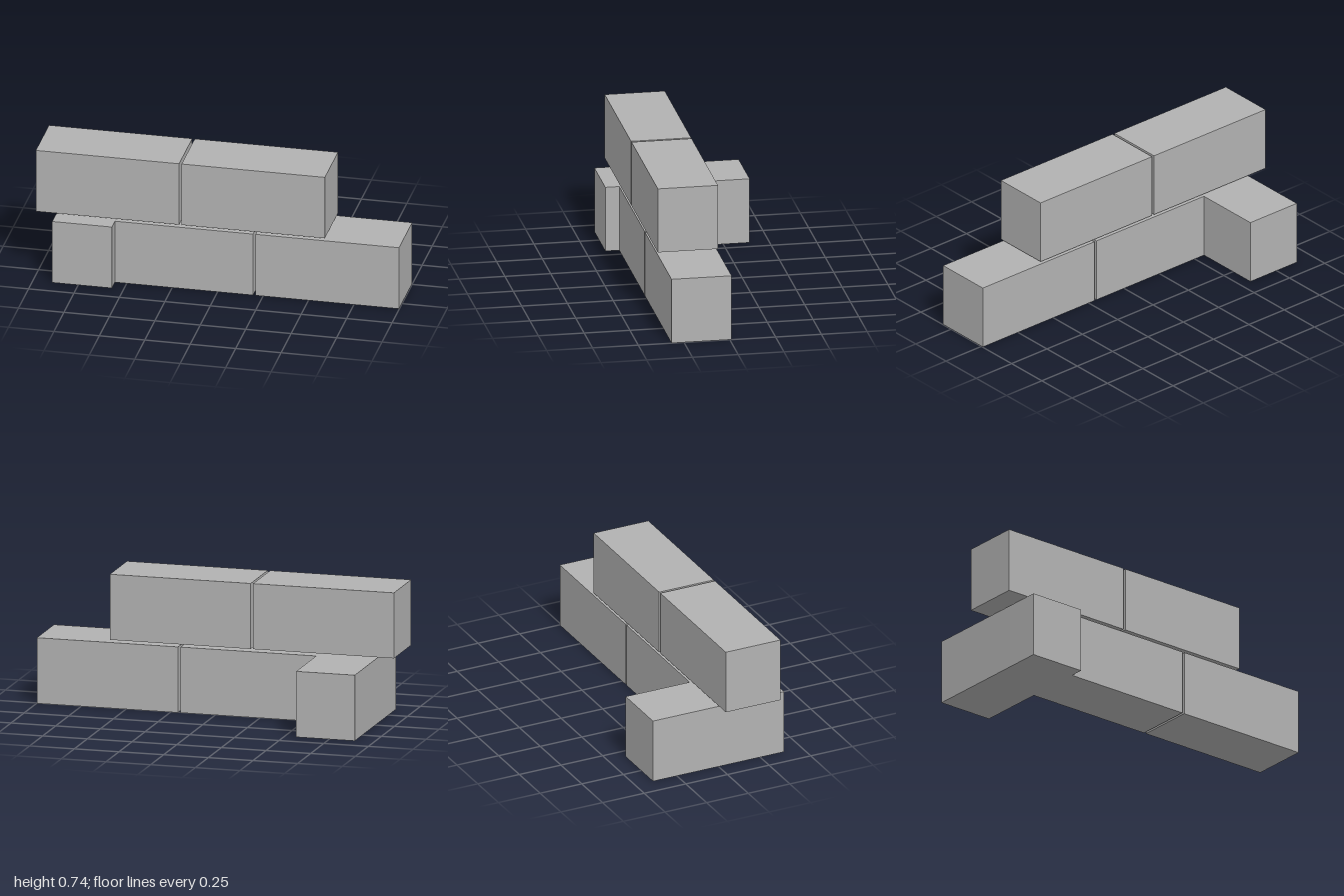
import * as THREE from 'three';

export function createModel() {
  const group = new THREE.Group();
  const concrete = new THREE.MeshStandardMaterial({ color: 0xb2b2b2 });
  concrete.name = 'concreteGrey';

  // One block, given by its extents along each axis
  const addBlock = (name, [x0, x1], [y0, y1], [z0, z1]) => {
    const block = new THREE.Mesh(new THREE.BoxGeometry(x1 - x0, y1 - y0, z1 - z0), concrete);
    block.name = name;
    block.position.set((x0 + x1) / 2, (y0 + y1) / 2, (z0 + z1) / 2);
    group.add(block);
  };

  const lower = [0, 0.362];
  const upper = [0.377, 0.738];
  const wall = [-0.01, 0.318];

  // Bottom course: a crosswise corner block and two lengthwise blocks
  addBlock('cornerBlock', [-0.893, -0.565], lower, [-0.394, 0.394]);
  addBlock('lowerMiddleBlock', [-0.565, 0.195], lower, wall);
  addBlock('lowerEndBlock', [0.209, 0.998], lower, wall);

  // Top course, offset to stagger the joints
  addBlock('upperEndBlock', [-1, -0.212], upper, wall);
  addBlock('upperMiddleBlock', [-0.198, 0.59], upper, wall);

  return group;
}
